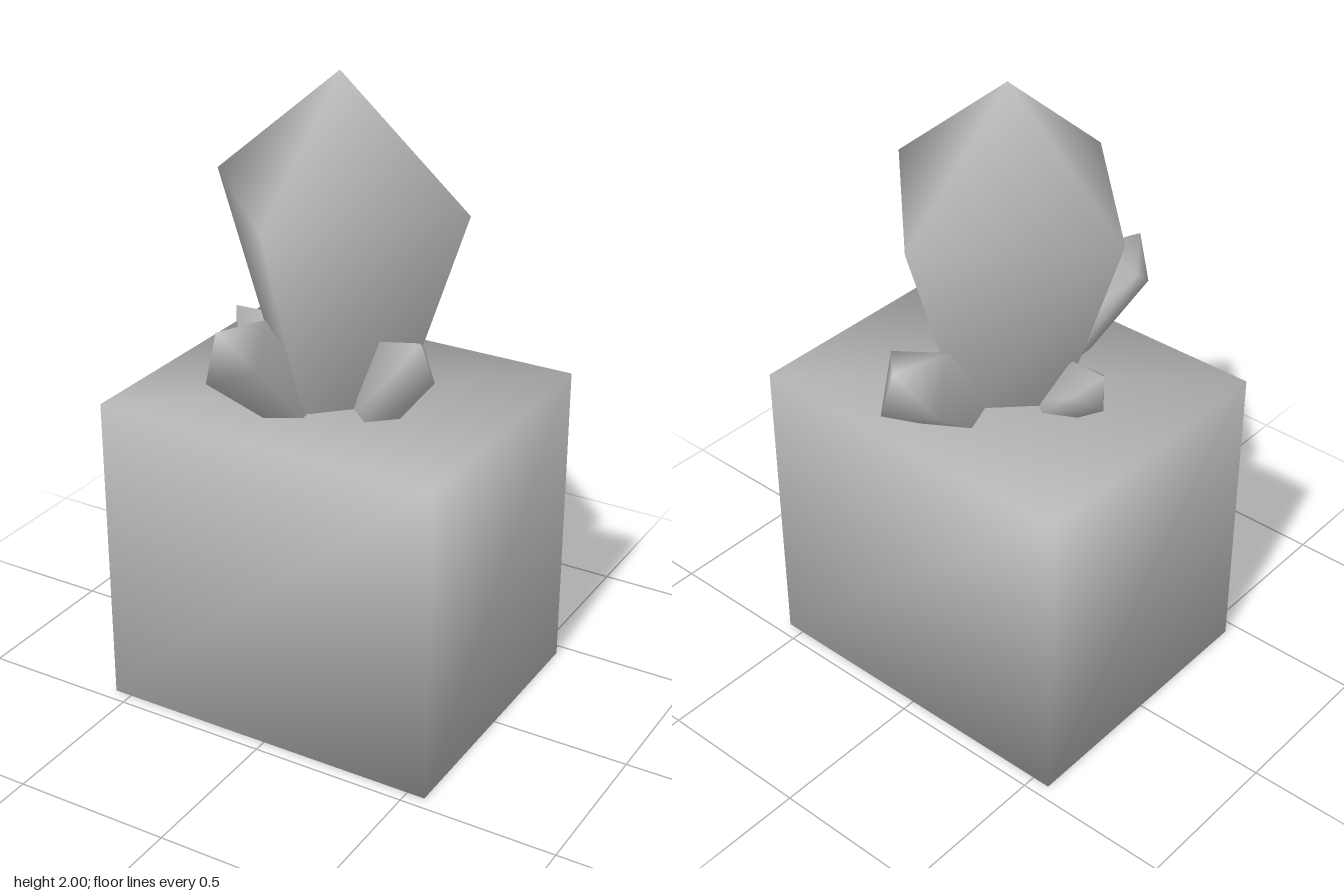
import * as THREE from 'three';
import { mergeVertices } from 'three/addons/utils/BufferGeometryUtils.js';

const V = (x, y, z) => new THREE.Vector3(x, y, z);

// Four-sided crystal: a diamond shoulder spanned by u and v, a pointed tip
// along u x v, and a stem narrowing down to a smaller foot.
function crystalGeometry(centre, u, v, tipLength, stemLength, taper) {
  const axis = u.clone().cross(v).normalize();
  const foot = centre.clone().addScaledVector(axis, -stemLength);
  const arms = [u, v, u.clone().negate(), v.clone().negate()];
  const points = [
    ...arms.map((a) => foot.clone().addScaledVector(a, taper)),
    ...arms.map((a) => centre.clone().add(a)),
    centre.clone().addScaledVector(axis, tipLength),
  ];
  const index = [0, 2, 1, 0, 3, 2];
  for (let i = 0; i < 4; i++) {
    const j = (i + 1) % 4;
    index.push(i, j, 4 + j, i, 4 + j, 4 + i, 4 + i, 4 + j, 8);
  }
  const geometry = new THREE.BufferGeometry().setFromPoints(points);
  geometry.setIndex(index);
  geometry.computeVertexNormals();
  return geometry;
}

export function createModel() {
  const group = new THREE.Group();
  const stone = new THREE.MeshStandardMaterial({ color: 0xbfbfbf });
  stone.name = 'grey stone';

  const add = (name, geometry) => {
    const mesh = new THREE.Mesh(geometry, stone);
    mesh.name = name;
    group.add(mesh);
  };

  // Block with corners shared so its shading is smooth across the edges
  const box = new THREE.BoxGeometry(1.115, 1.01, 0.915);
  box.translate(0, 0.505, 0);
  box.deleteAttribute('normal');
  box.deleteAttribute('uv');
  const block = mergeVertices(box);
  block.computeVertexNormals();
  add('baseBlock', block);

  // Large upright crystal
  add('mainCrystal', crystalGeometry(
    V(0, 1.64, 0), V(0, 0, 0.425), V(0.425, 0, 0), 0.36, 0.68, 0.46));

  // Small crystals leaning outward around its foot
  add('frontCrystal', crystalGeometry(
    V(-0.1, 1.265, 0.412), V(0.05, 0.08, -0.08), V(-0.1, 0.02, -0.048), 0.11, 0.42, 0.48));
  add('leftCrystal', crystalGeometry(
    V(0.295, 1.21, 0.12), V(-0.085, 0.05, 0.01), V(0, -0.012, 0.1), 0.085, 0.32, 0.55));
  add('rightCrystal', crystalGeometry(
    V(-0.325, 1.14, -0.02), V(0.06, 0.06, 0), V(0, 0, -0.075), 0.08, 0.27, 0.5));
  add('backCrystal', crystalGeometry(
    V(0, 1.2, -0.405), V(-0.055, 0.09, 0.085), V(0.127, 0.04, 0.04), 0.115, 0.37, 0.5));

  return group;
}
